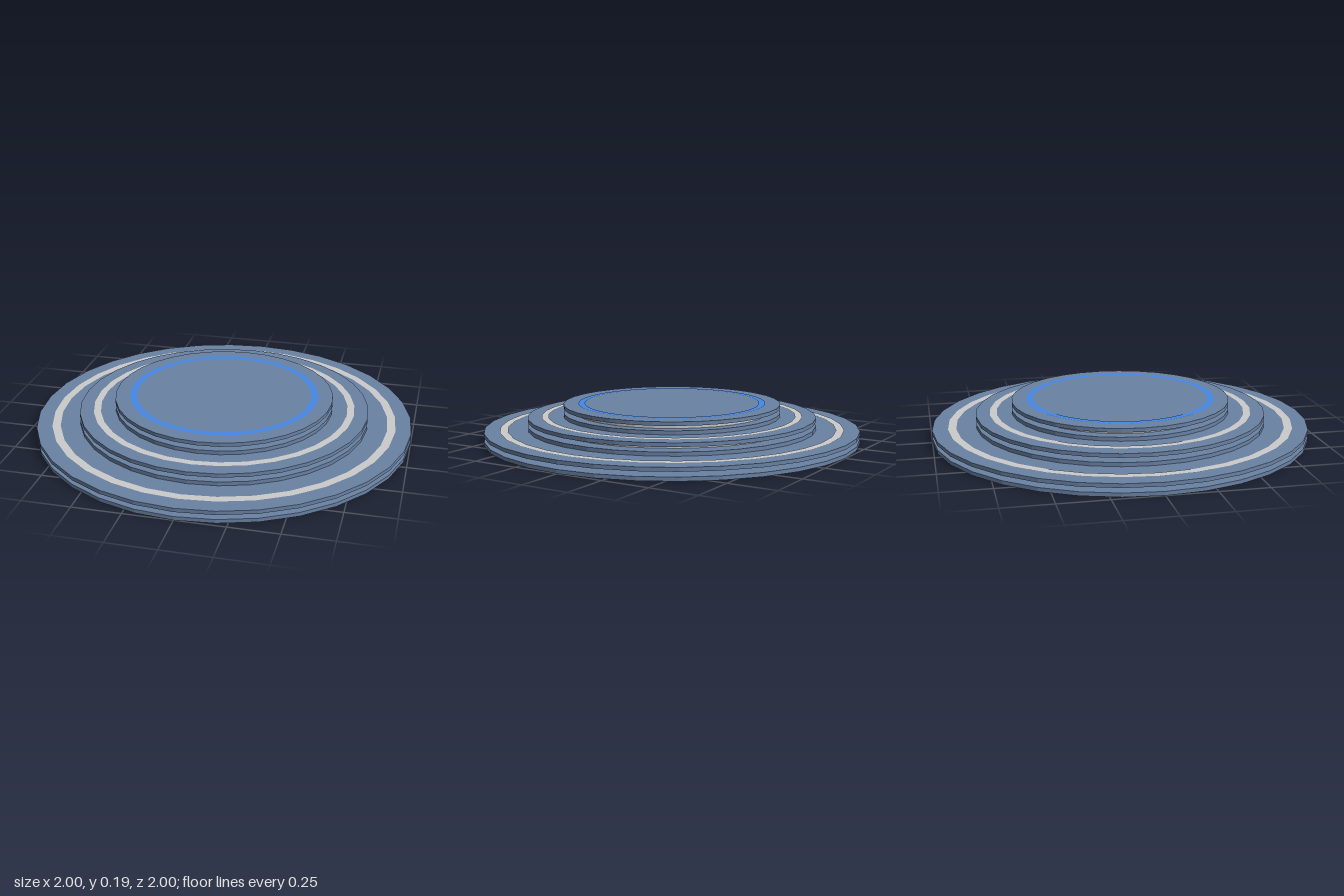
import * as THREE from 'three';

const SIDES = 32;
const PLATE = 0.02;   // plate thickness
const TIER = 0.064;   // height of one tier

export function createModel() {
  const model = new THREE.Group();
  model.name = 'tieredPlatform';

  const slate = new THREE.MeshStandardMaterial({ color: 0x6a82a4, flatShading: true });
  const grey = new THREE.MeshStandardMaterial({ color: 0xcccccc, flatShading: true });
  const blue = new THREE.MeshStandardMaterial({ color: 0x4488e6 });

  const disc = (name, radius, y0, y1, material) => {
    const mesh = new THREE.Mesh(new THREE.CylinderGeometry(radius, radius, y1 - y0, SIDES), material);
    mesh.name = name;
    mesh.position.y = (y0 + y1) / 2;
    return mesh;
  };

  // flat band lying just above a plate
  const band = (name, inner, outer, y, sides, material) => {
    const mesh = new THREE.Mesh(new THREE.RingGeometry(inner, outer, sides), material);
    mesh.name = name;
    mesh.rotation.x = -Math.PI / 2;
    mesh.position.y = y + 0.002;
    return mesh;
  };

  // each tier is two plates around a recessed neck, with a band on top
  const tiers = [
    { name: 'lower', radius: 1, neck: 0.886, ring: [0.875, 0.918], sides: SIDES, trim: grey },
    { name: 'middle', radius: 0.77, neck: 0.685, ring: [0.66, 0.697], sides: SIDES, trim: grey },
    { name: 'upper', radius: 0.58, neck: 0.52, ring: [0.465, 0.5], sides: 64, trim: blue },
  ];

  tiers.forEach((t, i) => {
    const y = i * TIER;
    const tier = new THREE.Group();
    tier.name = t.name + 'Tier';
    tier.add(
      disc('bottomPlate', t.radius, y, y + PLATE, slate),
      disc('neck', t.neck, y + PLATE, y + TIER - PLATE, grey),
      disc('topPlate', t.radius, y + TIER - PLATE, y + TIER, slate),
      band('trimRing', t.ring[0], t.ring[1], y + TIER, t.sides, t.trim),
    );
    model.add(tier);
  });

  return model;
}
